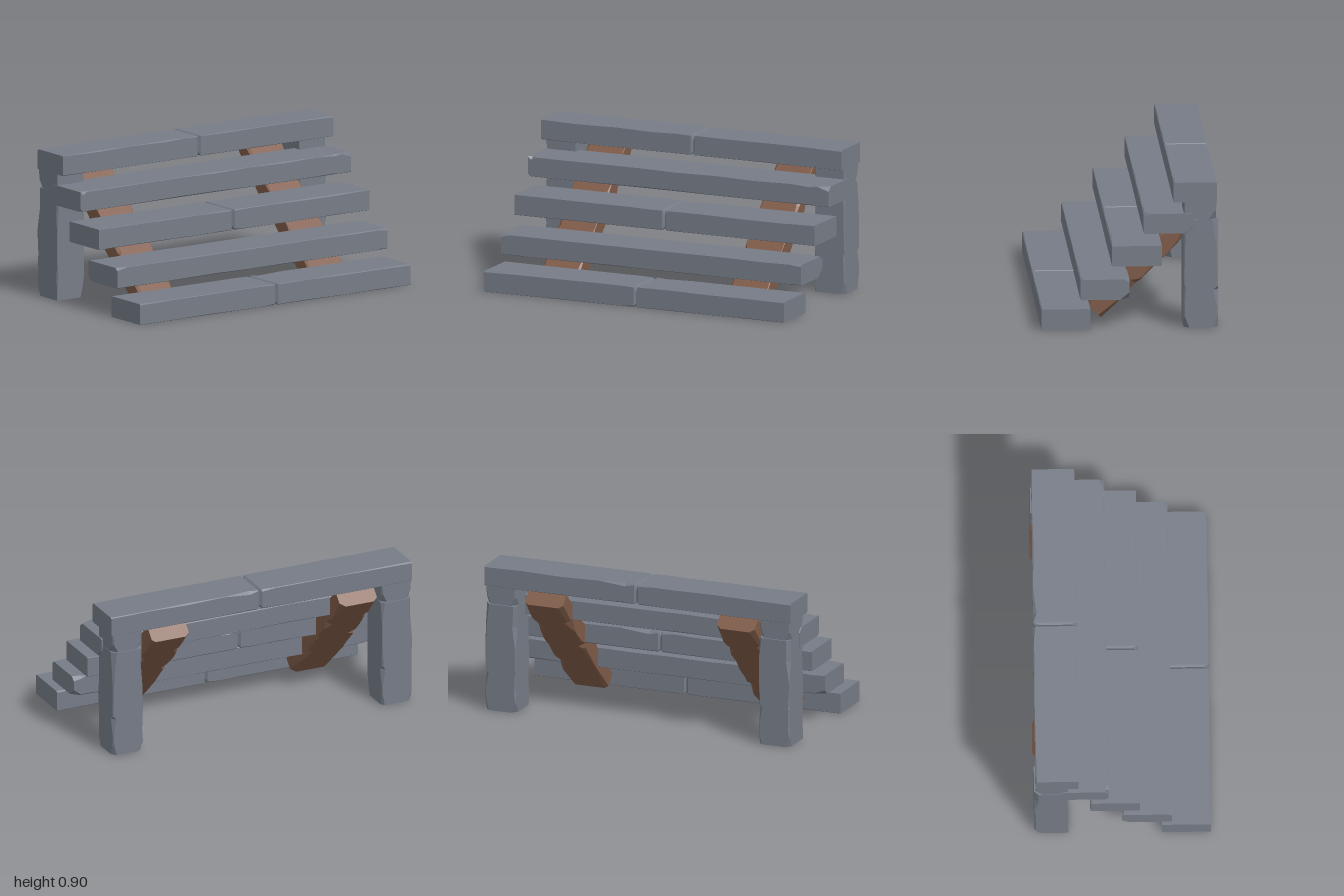
import * as THREE from 'three';

// small seeded generator for the hewn wear
let seed = 7;
const rand = () => {
  seed = (seed * 16807) % 2147483647;
  return seed / 2147483647;
};

// Worn beam along local x: eight-sided sections with chipped corners.
// Corners: 0 top back, 1 top front, 2 bottom front, 3 bottom back.
// chips: [position, corner, depth]; crack: position of a split all round.
function beam(length, height, depth, { chips = [], crack = null, wear = 0.008, parts = 8 } = {}) {
  const half = length / 2;
  const stations = [];
  const add = (t, inset = 0, big = [0, 0, 0, 0]) =>
    stations.push({ t, inset, cuts: big.map((b) => b + 0.002 + wear * rand() ** 2) });
  for (let i = 0; i <= parts; i++) {
    const t = -half + (length * i) / parts;
    if (crack === null || Math.abs(t - crack) > 0.04) add(t);
  }
  if (crack !== null) {
    add(crack - 0.1);
    add(crack - 0.014, 0, [0.012, 0.004, 0.002, 0.004]);
    add(crack, 0.013, [0.02, 0.02, 0.004, 0.012]);
    add(crack + 0.012);
    add(crack + 0.07, 0, [0.018, 0.002, 0.002, 0.002]);
  }
  for (const [t, corner, cut] of chips) {
    const near = stations.find((s) => Math.abs(s.t - t) < 0.012);
    if (near) near.cuts[corner] += cut;
    else {
      add(t, 0, [0, 1, 2, 3].map((k) => (k === corner ? cut : 0)));
    }
  }
  stations.sort((a, b) => a.t - b.t);

  const signs = [[1, -1], [1, 1], [-1, 1], [-1, -1]];
  const sections = stations.map(({ t, inset, cuts }) => {
    const hy = height / 2 - inset, hz = depth / 2 - inset;
    return signs.flatMap(([sy, sz], k) => {
      const onSide = [t, sy * (hy - cuts[k] * 0.8), sz * hz];
      const onFlat = [t, sy * hy, sz * (hz - cuts[k])];
      return k % 2 ? [onFlat, onSide] : [onSide, onFlat];
    });
  });

  const positions = [];
  const tri = (a, b, c) => positions.push(...a, ...b, ...c);
  for (let i = 0; i < sections.length - 1; i++) {
    const p = sections[i], q = sections[i + 1];
    for (let j = 0; j < 8; j++) {
      const n = (j + 1) % 8;
      tri(p[j], p[n], q[n]);
      tri(p[j], q[n], q[j]);
    }
  }
  const first = sections[0], last = sections[sections.length - 1];
  for (let j = 1; j < 7; j++) {
    tri(last[0], last[j], last[j + 1]);
    tri(first[0], first[j + 1], first[j]);
  }
  const geometry = new THREE.BufferGeometry();
  geometry.setAttribute('position', new THREE.Float32BufferAttribute(positions, 3));
  return geometry;
}

export function createModel() {
  seed = 7;
  const stone = new THREE.MeshStandardMaterial({ color: 0x767c87, flatShading: true });
  stone.name = 'weathered grey';
  const wood = new THREE.MeshStandardMaterial({ color: 0x7f5b48, flatShading: true });
  wood.name = 'brown timber';

  const group = new THREE.Group();
  group.name = 'stairs';
  const put = (name, geometry, material, x, y, z) => {
    geometry.computeVertexNormals();
    const mesh = new THREE.Mesh(geometry, material);
    mesh.name = name;
    mesh.position.set(x, y, z);
    group.add(mesh);
  };

  // treads: bottom, top, back z, front z, wear
  const endChips = [
    [-1, 3, 0.035], [-0.93, 3, 0.004], [-1, 1, 0.012], [1, 3, 0.055], [0.92, 3, 0.004],
    [1, 0, 0.025], [0.95, 0, 0.01], [1, 1, 0.012],
  ];
  const upperChips = [
    [-1, 0, 0.03], [-0.95, 0, 0.004], [-1, 2, 0.02], [-0.98, 1, 0.018], [-0.95, 1, 0.002],
    [1, 3, 0.05], [0.93, 3, 0.004], [1, 1, 0.03], [0.88, 1, 0.004],
  ];
  const treads = [
    [0.003, 0.13, 0.235, 0.53, { crack: 0.01 }],
    [0.185, 0.31, 0, 0.295, { chips: endChips }],
    [0.39, 0.515, -0.195, 0.105, { crack: -0.005 }],
    [0.59, 0.712, -0.385, -0.085, { chips: upperChips }],
    [0.78, 0.903, -0.525, -0.265, { crack: 0.01 }],
  ];
  treads.forEach(([y0, y1, z0, z1, wear], i) =>
    put(`tread${i + 1}`, beam(2, y1 - y0, z1 - z0, wear), stone, 0, (y0 + y1) / 2, (z0 + z1) / 2));

  // back legs, each with a short block carrying the top tread
  const upright = new THREE.Matrix4().makeBasis(
    new THREE.Vector3(0, 1, 0), new THREE.Vector3(-1, 0, 0), new THREE.Vector3(0, 0, 1));
  for (const [side, x] of [['left', 0.892], ['right', -0.897]]) {
    const legChips = [
      [-0.333, 0, 0.03], [-0.333, 2, 0.03], [-0.333, 3, 0.02], [-0.27, 2, 0.006],
      [-0.1, 3, 0.02], [-0.08, 3, 0.002], [0.2, 0, 0.02], [0.333, 0, 0.015], [0.333, 3, 0.02],
    ];
    const leg = beam(0.666, 0.2, 0.207, { chips: legChips, wear: 0.012, parts: 5 });
    put(`${side}Leg`, leg.applyMatrix4(upright), stone, x, 0.338, -0.429);
    const blockChips = [[-0.07, 0, 0.05], [-0.07, 3, 0.05], [0, 0, 0.01], [0, 3, 0.01]];
    const block = beam(0.14, 0.196, 0.195, { chips: blockChips, parts: 2 });
    put(`${side}LegBlock`, block.applyMatrix4(upright), stone, x, 0.72, -0.425);
  }

  // sloping stringers under the treads
  const r = Math.SQRT1_2;
  const slope = new THREE.Matrix4().makeBasis(
    new THREE.Vector3(0, r, -r), new THREE.Vector3(0, r, r), new THREE.Vector3(1, 0, 0));
  for (const [side, x] of [['left', 0.608], ['right', -0.643]]) {
    const stringerChips = [
      [-0.49, 2, 0.02], [-0.49, 3, 0.02], [-0.2, 2, 0.035], [-0.14, 2, 0.004],
      [0.02, 3, 0.035], [0.07, 3, 0.004], [0.22, 2, 0.03], [0.3, 3, 0.025],
      [0.49, 2, 0.02], [0.49, 3, 0.025],
    ];
    const stringer = beam(0.98, 0.11, 0.248, { chips: stringerChips, wear: 0.018, parts: 6 });
    put(`${side}Stringer`, stringer.applyMatrix4(slope), wood, x, 0.392, -0.155);
  }
  return group;
}
